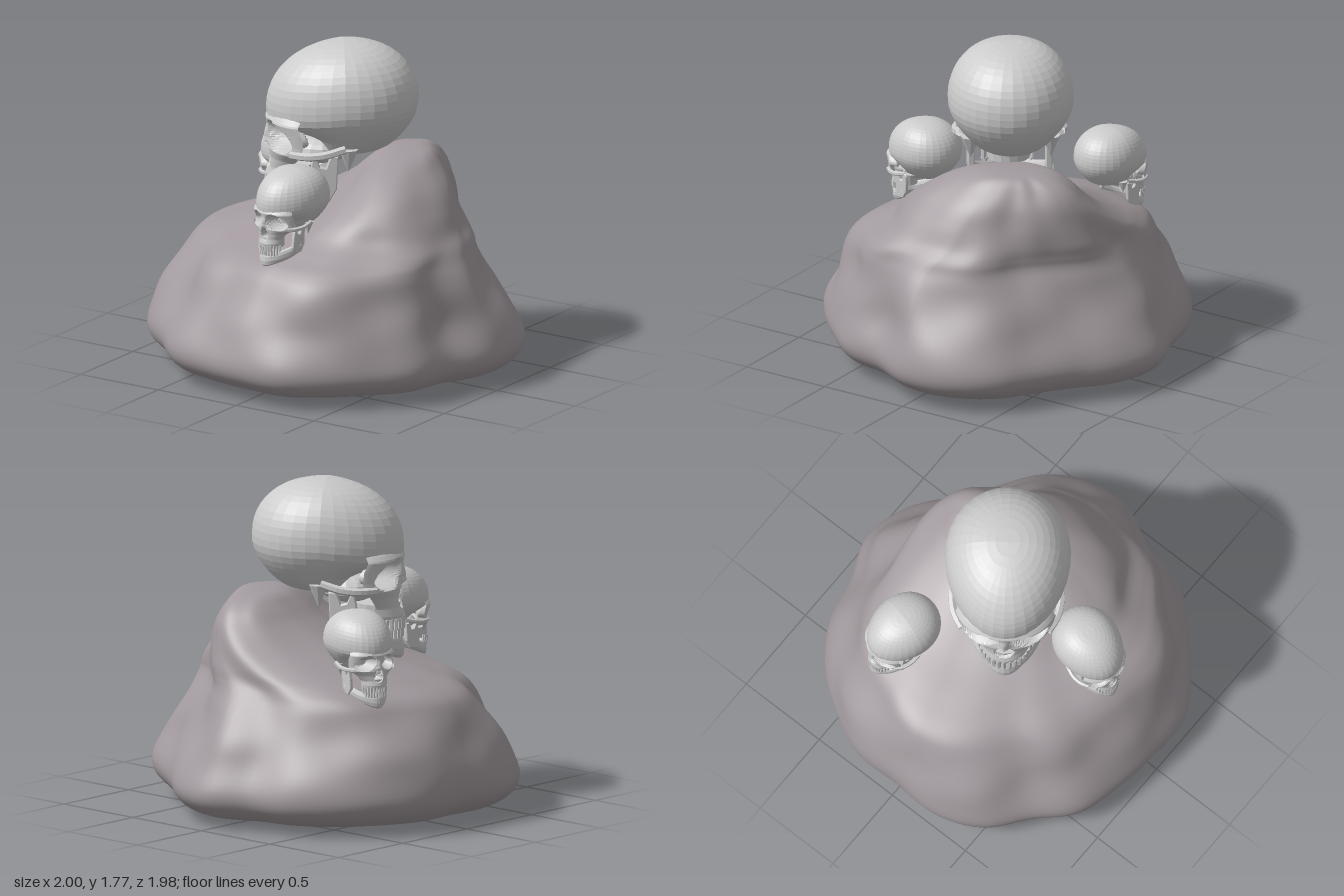
import * as THREE from 'three';
import { mergeVertices } from 'three/addons/utils/BufferGeometryUtils.js';

const V = (x, y, z) => new THREE.Vector3(x, y, z);
const smooth = THREE.MathUtils.smoothstep;
const bone = new THREE.MeshStandardMaterial({ color: 0xcccccc, flatShading: true, side: THREE.DoubleSide });
const stone = new THREE.MeshStandardMaterial({ color: 0xa29a9e });

// Grid surface: fn(u, v) gives a point, u running right and v running up
function surface(nu, nv, fn) {
  const g = new THREE.PlaneGeometry(1, 1, nu, nv);
  const p = g.attributes.position;
  for (let i = 0; i < p.count; i++) {
    const q = fn(p.getX(i) + 0.5, p.getY(i) + 0.5);
    p.setXYZ(i, q.x, q.y, q.z);
  }
  g.deleteAttribute('uv');
  g.deleteAttribute('normal');
  const m = mergeVertices(g, 1e-5);
  m.computeVertexNormals();
  return m;
}

function add(parent, name, geometry, material = bone) {
  const mesh = new THREE.Mesh(geometry, material);
  mesh.name = name;
  parent.add(mesh);
  return mesh;
}

// Linear lookup in rows [key, a, b], keys falling
function lookup(rows, key) {
  let i = 0;
  while (i < rows.length - 2 && key < rows[i + 1][0]) i++;
  const a = rows[i], b = rows[i + 1];
  const t = THREE.MathUtils.clamp((a[0] - key) / (a[0] - b[0]), 0, 1);
  return a.map((n, k) => n + (b[k] - n) * t);
}

// Rock mound: rings between x and z limits at each height, shaped by a plan outline
function moundGeometry() {
  const plan = [.95, .98, .945, .92, .93, .89, .965, .99, .96, .89, .88, .95,
    .985, .93, .97, .99, .99, 1, .97, 1.01, 1.01, .955, .98, .95];
  const outline = new THREE.CatmullRomCurve3(plan.map(r => V(r, 0, 0)), true, 'catmullrom');
  // y, x min, x max, z min, z max
  const levels = [
    [0, 0, 0, 0, 0], [0.018, -.5, .5, -.5, .5], [0.038, -.82, .82, -.82, .84], [0.09, -.96, .97, -.95, .98],
    [0.2, -1.02, 1.025, -1, 1.03], [0.4, -.98, .96, -.91, .94], [0.6, -.87, .87, -.79, .84],
    [0.69, -.79, .82, -.73, .75], [0.75, -.64, .78, -.7, .63], [0.82, -.42, .71, -.68, .5],
    [0.92, -.2, .64, -.64, .39], [1.02, -.04, .57, -.59, .26], [1.1, .05, .49, -.53, .13],
    [1.15, .11, .43, -.45, 0], [1.17, .17, .37, -.36, -.12], [1.175, .27, .27, -.25, -.25]];
  const xs = new THREE.CatmullRomCurve3(levels.map(l => V(l[0], l[1], l[2])), false, 'catmullrom');
  const zs = new THREE.CatmullRomCurve3(levels.map(l => V(l[0], l[3], l[4])), false, 'catmullrom');
  return surface(144, 90, (u, v) => {
    const a = u * Math.PI * 2, s = Math.sin(a), c = Math.cos(a);
    const X = xs.getPoint(v), Z = zs.getPoint(v), y = X.x;
    const cx = (X.y + X.z) / 2, cz = (Z.y + Z.z) / 2;
    const fade = smooth(y, 0.3, 1.1), diagonal = Math.sin(2 * a);
    const bumps = Math.sin(5 * a + 4 * y) * Math.sin(7 * y + 2 * a) + 0.6 * Math.sin(9 * a - 6 * y + 1) * Math.sin(11 * y + 3 * a);
    const ridge = 0.14 * diagonal * smooth(y, 0.5, 1.1) - 0.07 * Math.max(0, -diagonal) * smooth(y, 0.2, 0.6);
    const r = outline.getPoint(u % 1).x * (1 - fade) + 0.99 * fade + ridge + 0.025 * bumps * smooth(y, 0.15, 0.5);
    return V(cx + s * r * (X.z - X.y) / 2, y, cz + c * r * (Z.z - Z.y) / 2);
  });
}

// Brain case: steep forehead reaching the brow, full lower back, tucked in behind the face
function craniumGeometry() {
  return surface(32, 24, (u, v) => {
    const a = (u + 0.5) * Math.PI * 2, e = (v - 0.5) * Math.PI;
    const y = Math.sin(e);
    const h = Math.pow(Math.max(0, Math.cos(e)), y > 0 ? 0.8 : 0.5);
    const x = Math.sin(a) * h, z = Math.cos(a) * h;
    const low = smooth(-y, 0.1, 1);
    const tuck = z > 0 ? smooth(-y, 0.2, 0.65) * z : 0;
    return V(x * (0.345 - 0.03 * z) * (1 - 0.2 * low),
      0.69 - 0.05 * Math.max(0, z) + y * 0.31,
      z * (z > 0 ? 0.425 : 0.415) * (1 - 0.13 * low) - 0.24 * tuck);
  });
}

// Face sheet with brow, eye sockets, nose bridge and nose opening
function faceGeometry() {
  // y, half width, forward reach
  const rows = [[.66, .24, .36], [.61, .265, .41], [.58, .28, .43], [.53, .285, .41], [.46, .28, .4],
    [.41, .27, .415], [.36, .2, .41], [.3, .15, .415], [.25, .145, .43], [.2, .135, .42]];
  const dent = (x, y, rx, ry) => 1 - smooth(Math.hypot(x / rx, y / ry), 0.65, 1.1);
  return surface(56, 44, (u, v) => {
    const y = 0.2 + 0.46 * v, [, w, reach] = lookup(rows, y), a = (u - 0.5) * 2.7;
    const x = w * Math.sin(a);
    let z = reach - (0.09 + w * 0.45) * (1 - Math.cos(a));
    const ax = Math.abs(x);
    z -= 0.14 * dent(ax - 0.135, y - 0.495 + (ax - 0.135) * 0.2, 0.1, 0.078);
    z -= 0.11 * dent(x, y - 0.36, 0.03 + 0.25 * Math.max(0, 0.43 - y), 0.07);
    z += 0.035 * Math.exp(-Math.pow(x / 0.03, 2)) * smooth(y, 0.41, 0.44) * (1 - smooth(y, 0.46, 0.58));
    return V(x, y, z);
  });
}

// Lower jaw body: an oval section swept along a U
function jawGeometry() {
  const half = [V(-.215, .2, .09), V(-.175, .14, .22), V(-.105, .1, .33)];
  const path = new THREE.CatmullRomCurve3([...half, V(0, .085, .385),
    ...half.map(p => V(-p.x, p.y, p.z)).reverse()]);
  return surface(10, 32, (u, v) => {
    const p = path.getPoint(v), t = path.getTangent(v), a = u * Math.PI * 2;
    const n = t.cross(V(0, 1, 0)).normalize();
    const chin = Math.exp(-Math.pow(p.x / 0.08, 2));
    const out = 0.028 * Math.sin(a) + chin * 0.012 * (1 - Math.cos(a));
    return p.addScaledVector(n, out).add(V(0, Math.cos(a) * (0.06 + 0.022 * chin), 0));
  });
}

// Rear jaw plate with its two upper prongs
function ramusGeometry() {
  const s = new THREE.Shape([[.04, .4], [.075, .4], [.1, .33], [.14, .34], [.17, .41], [.19, .3], [.2, .2],
    [.16, .14], [.09, .15], [.05, .22]].map(p => new THREE.Vector2(...p)));
  const g = new THREE.ExtrudeGeometry(s, { depth: 0.025, bevelSize: 0.006, bevelThickness: 0.006, bevelSegments: 1 });
  return g.rotateY(-Math.PI / 2);
}

const parts = {
  cranium: craniumGeometry(), face: faceGeometry(), jaw: jawGeometry(), ramus: ramusGeometry(),
  tooth: new THREE.CylinderGeometry(0.013, 0.015, 0.06, 6),
};

// Skull one unit tall, chin at y = 0, facing +z
function makeSkull(name, x, y, z, size, yaw) {
  const skull = new THREE.Group();
  skull.name = name;
  add(skull, 'cranium', parts.cranium);
  add(skull, 'face', parts.face);
  add(skull, 'lowerJaw', parts.jaw);
  // Skull base filling between brain case and palate
  const base = add(skull, 'skullBase', new THREE.SphereGeometry(1, 14, 10));
  base.position.set(0, 0.39, 0.12);
  base.scale.set(0.14, 0.08, 0.16);
  const palate = add(skull, 'palate', new THREE.CylinderGeometry(0.125, 0.12, 0.11, 16));
  palate.position.set(0, 0.26, 0.28);
  for (const side of [-1, 1]) {
    const ramus = add(skull, 'jawRamus', parts.ramus);
    ramus.position.x = side * 0.215 + 0.012;
    // Cheek arch and ear bump
    const arch = new THREE.CatmullRomCurve3([V(side * .235, .42, .3), V(side * .28, .42, .22),
      V(side * .298, .43, .12), V(side * .28, .46, .0)]);
    add(skull, 'cheekArch', new THREE.TubeGeometry(arch, 10, 0.023, 6));
    const mastoid = add(skull, 'mastoid', new THREE.ConeGeometry(0.055, 0.13, 8));
    mastoid.position.set(side * 0.22, 0.38, -0.02);
    mastoid.rotation.x = Math.PI;
  }
  // Two rows of teeth along the jaw arc
  for (const [rowName, ty, r] of [['upperTooth', 0.205, 0.142], ['lowerTooth', 0.153, 0.134]]) {
    for (let i = -6; i <= 6; i++) {
      const a = i * 0.215;
      const tooth = add(skull, rowName, parts.tooth);
      tooth.position.set(r * Math.sin(a), ty, 0.27 + r * Math.cos(a) * 1.05);
      tooth.rotation.y = a;
    }
  }
  skull.position.set(x, y, z);
  skull.scale.setScalar(size);
  skull.rotation.y = yaw;
  return skull;
}

export function createModel() {
  const model = new THREE.Group();
  model.name = 'skullsOnRock';
  add(model, 'rockMound', moundGeometry(), stone);
  model.add(
    makeSkull('largeSkull', 0, 0.8, -0.02, 0.97, -0.94),
    makeSkull('frontSkull', 0.03, 0.7, 0.51, 0.51, -0.22),
    makeSkull('sideSkull', -0.51, 0.67, -0.32, 0.5, -1.83));
  return model;
}
